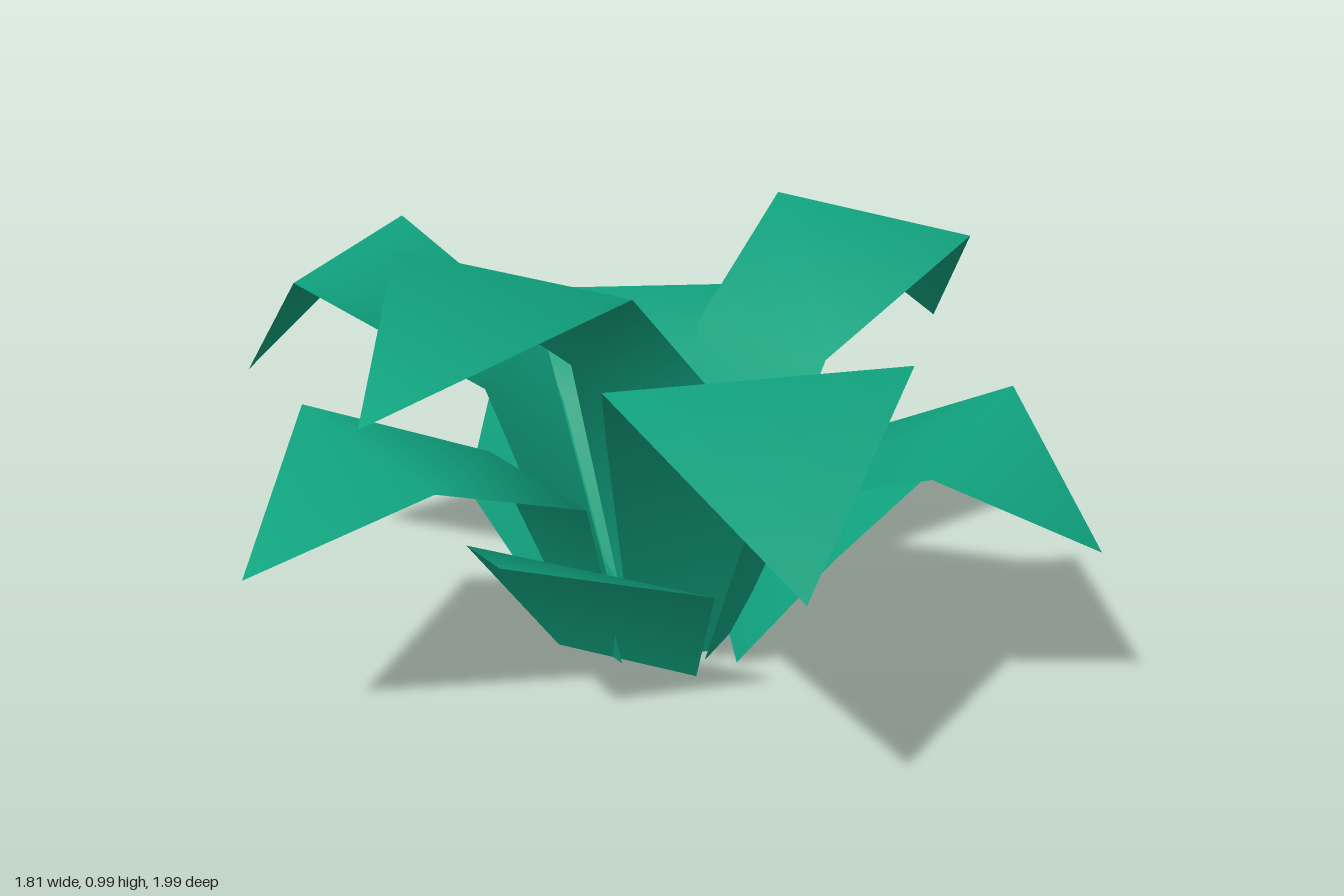
import * as THREE from 'three';

const material = new THREE.MeshStandardMaterial({ color: 0x10a37f, side: THREE.DoubleSide });

// A leaf grows along +x: rows of [radius, height, half width], ending in a pointed tip.
function leafGeometry(rows, tip) {
  const points = [];
  const index = [];
  rows.forEach(([r, y, h], i) => {
    points.push(r, y, -h, r, y, h);
    const a = i * 2;
    if (i < rows.length - 1) index.push(a, a + 1, a + 2, a + 1, a + 3, a + 2);
    else index.push(a, a + 1, a + 2);
  });
  points.push(tip[0], tip[1], 0);
  const geometry = new THREE.BufferGeometry();
  geometry.setAttribute('position', new THREE.Float32BufferAttribute(points, 3));
  geometry.setIndex(index);
  geometry.computeVertexNormals();
  return geometry;
}

// Rings of leaves, from the lowest to the single top leaf; angles run from +x towards +z.
const rings = [
  { name: 'lowLeaf', start: 0, count: 3, tip: [0.715, 0.465],
    rows: [[0.165, 0, 0.173], [0.355, 0.305, 0.295]] },
  { name: 'outerLeaf', start: 30, count: 3, tip: [1.0, 0.4],
    rows: [[0.16, 0, 0.09], [0.32, 0.455, 0.2], [0.72, 0.622, 0.297]] },
  { name: 'innerLeaf', start: 80, count: 3, tip: [1.005, 0.55],
    rows: [[0.13, 0, 0.09], [0.334, 0.635, 0.2], [0.722, 0.87, 0.297]] },
  { name: 'topLeaf', start: 130, count: 1, tip: [0.938, 0.795],
    rows: [[0, 0, 0.09], [0.057, 0.63, 0.2], [0.508, 0.985, 0.297]] },
];

export function createModel() {
  const plant = new THREE.Group();
  plant.name = 'leafyPlant';
  for (const { name, start, count, rows, tip } of rings) {
    const geometry = leafGeometry(rows, tip);
    for (let i = 0; i < count; i++) {
      const leaf = new THREE.Mesh(geometry, material);
      leaf.name = name;
      leaf.position.x = 0.037;
      leaf.rotation.y = -THREE.MathUtils.degToRad(start + (i * 360) / 3);
      plant.add(leaf);
    }
  }
  return plant;
}
